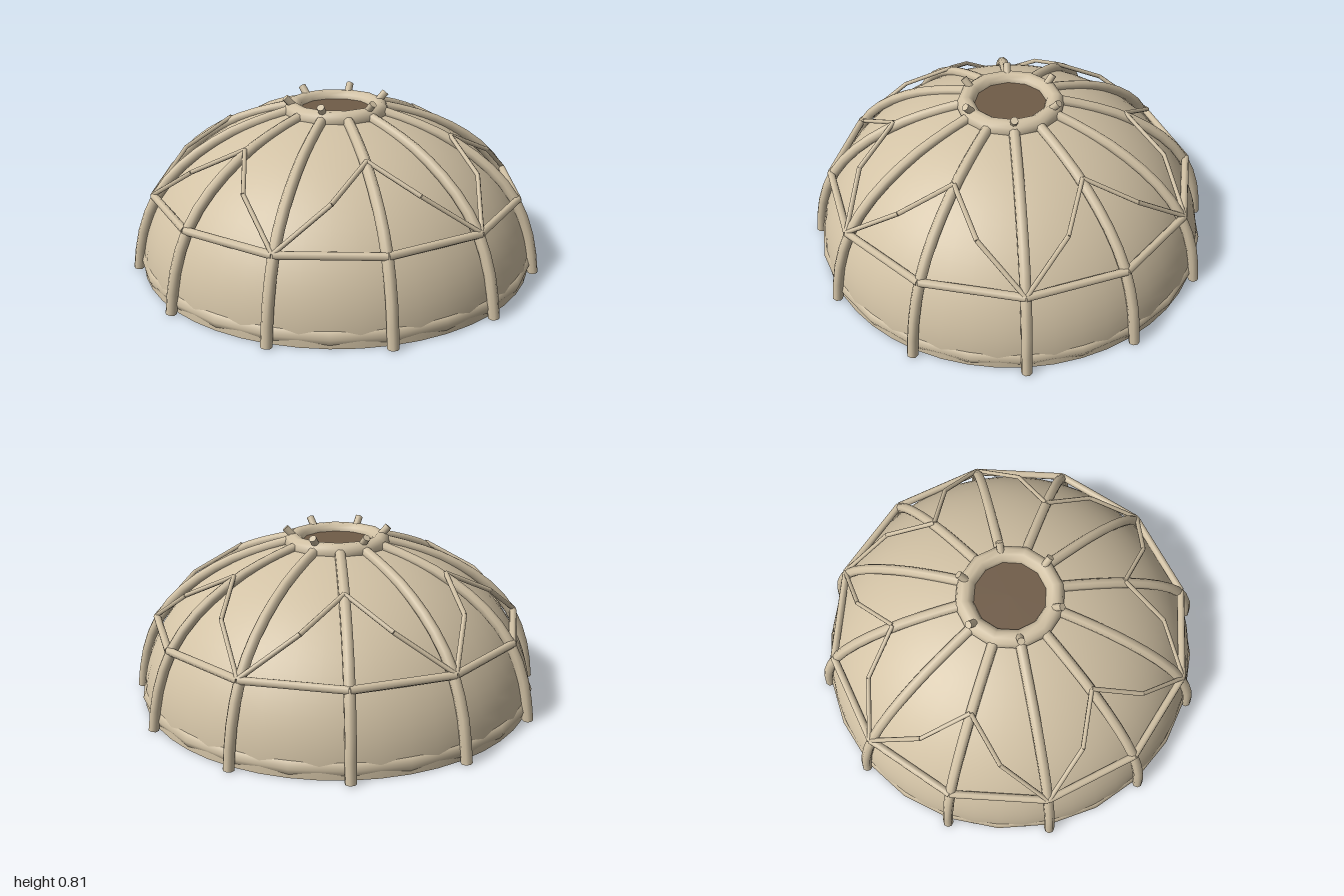
import * as THREE from 'three';

const stone = new THREE.MeshStandardMaterial({ color: 0xd2c2a5 });
stone.name = 'sandstone';
const dark = new THREE.MeshStandardMaterial({ color: 0x705c48 });
dark.name = 'dark brown';

// Point at angle a around the dome, radius r, height y
const polar = (a, r, y) => new THREE.Vector3(r * Math.cos(a), y, r * Math.sin(a));

// Closed path made of straight pieces
function polyline(points) {
  const path = new THREE.CurvePath();
  points.forEach((p, i) => path.add(new THREE.LineCurve3(p, points[(i + 1) % points.length])));
  return path;
}

export function createModel() {
  const model = new THREE.Group();
  model.name = 'ribbedDome';
  const add = (name, geometry, material = stone) => {
    const mesh = new THREE.Mesh(geometry, material);
    mesh.name = name;
    model.add(mesh);
    return mesh;
  };
  // Straight round bar between two points
  const bar = (name, a, b, radius, sides = 8) => {
    const dir = b.clone().sub(a);
    const mesh = add(name, new THREE.CylinderGeometry(radius, radius, dir.length(), sides));
    mesh.position.copy(a).add(b).multiplyScalar(0.5);
    mesh.quaternion.setFromUnitVectors(new THREE.Vector3(0, 1, 0), dir.normalize());
    return mesh;
  };

  // Dome shell, open at the crown
  const profile = [];
  for (let i = 0; i <= 20; i++) {
    const t = (i / 20) * 1.36;
    profile.push(new THREE.Vector2(0.95 * Math.cos(t), 0.745 * Math.sin(t)));
  }
  add('domeShell', new THREE.LatheGeometry(profile, 48));

  // Flat underside
  add('underside', new THREE.CircleGeometry(0.95, 48).rotateX(Math.PI / 2)).position.y = 0.001;

  // Rounded base band and crown ring
  const base = add('baseBand', new THREE.TorusGeometry(0.917, 0.044, 8, 24).rotateX(Math.PI / 2));
  base.position.y = 0.044;
  const crown = add('crownRing', new THREE.TorusGeometry(0.21, 0.045, 10, 12).rotateX(Math.PI / 2));
  crown.position.y = 0.727;

  // Dark opening in the crown
  add('crownOpening', new THREE.CircleGeometry(0.2, 24).rotateX(-Math.PI / 2), dark).position.y = 0.735;

  // Twelve curved ribs with flat feet
  const ribProfile = [[0.975, 0], [0.945, 0.17], [0.865, 0.36], [0.74, 0.5], [0.55, 0.623], [0.38, 0.69], [0.23, 0.732]];
  for (let k = 0; k < 12; k++) {
    const a = (k * Math.PI) / 6;
    const curve = new THREE.CatmullRomCurve3(ribProfile.map(([r, y]) => polar(a, r, y)));
    const geometry = new THREE.TubeGeometry(curve, 12, 0.025, 8, false);
    const pos = geometry.attributes.position;
    for (let i = 0; i < pos.count; i++) pos.setY(i, Math.max(0, pos.getY(i)));
    add('rib', geometry);
    // Cap closing the foot of the rib
    const foot = add('ribFoot', new THREE.CircleGeometry(0.025, 8).rotateX(Math.PI / 2));
    foot.position.copy(polar(a, 0.975, 0.001));
  }

  // Twelve-sided hoop joining the ribs
  for (let k = 0; k < 12; k++) {
    const a = (k * Math.PI) / 6;
    bar('hoopBar', polar(a, 0.88, 0.36), polar(a + Math.PI / 6, 0.88, 0.36), 0.018);
  }

  // Star tracery: six peaks joined by bent bars
  const star = [];
  for (let k = 0; k < 6; k++) {
    const a = (k * Math.PI) / 3;
    star.push(
      polar(a, 0.885, 0.365),
      polar(a + Math.PI / 12, 0.733, 0.53),
      polar(a + Math.PI / 6, 0.55, 0.645),
      polar(a + Math.PI / 4, 0.733, 0.53),
    );
  }
  for (const piece of polyline(star).curves) bar('starBar', piece.v1, piece.v2, 0.011, 6);

  // Six short pegs leaning out of the crown ring
  for (let k = 0; k < 6; k++) {
    const a = (k * Math.PI) / 3;
    bar('crownPeg', polar(a, 0.19, 0.735), polar(a, 0.245, 0.797), 0.018);
  }
  return model;
}
